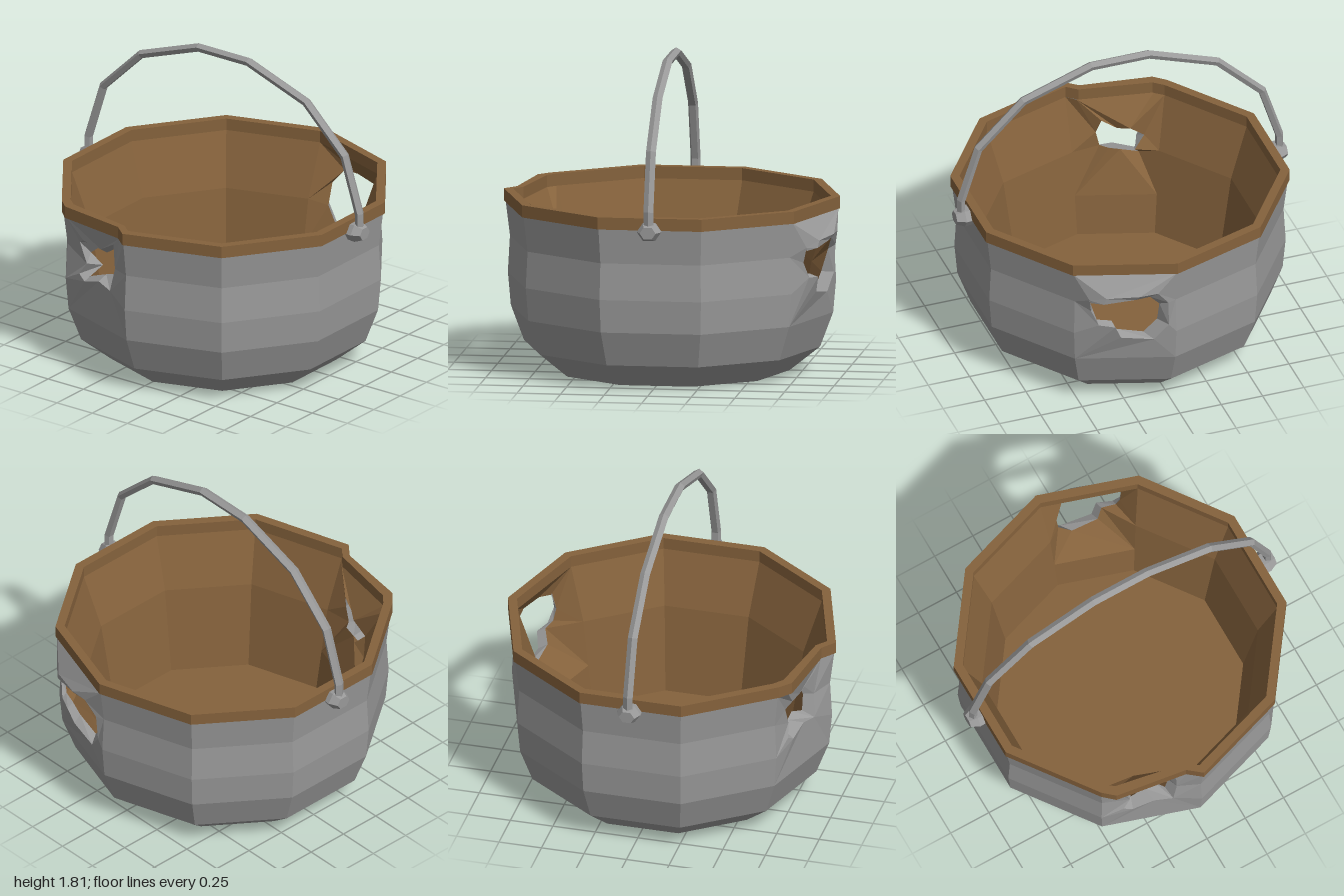
import * as THREE from 'three';

const V2 = (p) => new THREE.Vector2(p[0], p[1]);
const STEP = Math.PI / 5; // ten-sided pot

// Wall profiles as [radius, height], from bottom to top
const OUTER = [[0.675, 0], [0.85, 0.14], [0.925, 0.34], [0.942, 0.53], [0.93, 0.74], [0.955, 0.94]];
const INNER = [[0.715, 0.12], [0.755, 0.36], [0.8, 0.63], [0.912, 0.94]];

function radiusAt(profile, y) {
  let i = 0;
  while (i < profile.length - 2 && y > profile[i + 1][1]) i++;
  const [r0, y0] = profile[i], [r1, y1] = profile[i + 1];
  return r0 + ((r1 - r0) * (y - y0)) / (y1 - y0);
}

// Point on the front panel: sideways distance, height, push out of the wall plane
function wallPoint(profile, [d, y, push = 0]) {
  const r = radiusAt(profile, y), u = d / (Math.sin(STEP) * r);
  const a = STEP / 2;
  return new THREE.Vector3(
    -d - push * Math.sin(a), y,
    r * (1 - u * (1 - Math.cos(STEP))) + push * Math.cos(a));
}

// Loop of points sorted by angle around the middle of the hole
function makeLoop(profile, pts) {
  return pts
    .map((p) => ({ a: Math.atan2(p[1] - 0.69, 0.27 - p[0]), p: wallPoint(profile, p) }))
    .sort((m, n) => m.a - n.a);
}

// Stitches a big loop to a smaller loop inside it
function stitch(big, small, flip = false) {
  const pos = [];
  const at = (loop, i) => loop[i % loop.length].p;
  const ang = (loop, i) => loop[i % loop.length].a + (i >= loop.length ? 2 * Math.PI : 0);
  const tri = (a, b, c) => (flip ? [a, c, b] : [a, b, c]).forEach((v) => pos.push(v.x, v.y, v.z));
  let i = 0, j = 0;
  while (i < big.length || j < small.length) {
    const stepBig = j >= small.length || (i < big.length && ang(big, i + 1) < ang(small, j + 1));
    if (stepBig) {
      tri(at(big, i), at(big, i + 1), at(small, j));
      i++;
    } else {
      tri(at(big, i), at(small, j + 1), at(small, j));
      j++;
    }
  }
  const g = new THREE.BufferGeometry();
  g.setAttribute('position', new THREE.Float32BufferAttribute(pos, 3));
  g.computeVertexNormals();
  return g;
}

// Edge of one wall panel, with optional extra points on its top edge
function panelEdge(profile, from, top = []) {
  const pts = [...top];
  profile.slice(from).forEach(([r, y]) => pts.push([0, y], [r * Math.sin(STEP), y]));
  return makeLoop(profile, pts);
}

// Handle: five-sided bar bent along a path, ridge outward
function barGeometry(path) {
  const n = path.length;
  const g = new THREE.CylinderGeometry(1, 1, 1, 5, n - 1).rotateY(Math.PI / 2);
  const pos = g.attributes.position;
  for (let i = 0; i < pos.count; i++) {
    const k = Math.round((0.5 - pos.getY(i)) * (n - 1));
    const a = path[Math.max(k - 1, 0)], b = path[Math.min(k + 1, n - 1)];
    const len = Math.hypot(b[0] - a[0], b[1] - a[1]);
    const off = pos.getX(i) * 0.025;
    pos.setXYZ(i,
      path[k][0] - (off * (b[1] - a[1])) / len,
      path[k][1] + (off * (b[0] - a[0])) / len,
      pos.getZ(i) * 0.03);
  }
  g.computeVertexNormals();
  return g;
}

export function createModel() {
  const iron = new THREE.MeshStandardMaterial({ color: 0x999999, flatShading: true, side: THREE.DoubleSide });
  iron.name = 'iron grey';
  const rust = new THREE.MeshStandardMaterial({ color: 0x85623c, flatShading: true, side: THREE.DoubleSide });
  rust.name = 'rust brown';

  const model = new THREE.Group();
  model.name = 'brokenPot';
  const add = (name, geometry, material, parent = model) => {
    const mesh = new THREE.Mesh(geometry, material);
    mesh.name = name;
    parent.add(mesh);
    return mesh;
  };

  // Lower pot and floor, all the way round
  add('lowerPot', new THREE.LatheGeometry([[0, 0], ...OUTER.slice(0, 3)].map(V2), 10), iron);
  add('lowerLining', new THREE.LatheGeometry([[0, INNER[0][1]], ...INNER.slice(0, 2)].reverse().map(V2), 10), rust);

  // Upper walls, leaving out the two torn panels
  [['left', 0], ['right', Math.PI]].forEach(([side, start]) => {
    add(side + 'Wall', new THREE.LatheGeometry(OUTER.slice(2).map(V2), 4, start, 4 * STEP), iron);
    add(side + 'Lining', new THREE.LatheGeometry(INNER.slice(1).reverse().map(V2), 4, start, 4 * STEP), rust);
  });

  // Torn panels: the front one is bent inward, the back one outward
  const torn = [
    {
      name: 'front', turn: 0,
      top: [[0.08, 0.94, -0.035], [0.5, 0.94, 0.03]],
      innerTop: [[0.06, 0.94, -0.03], [0.48, 0.94, 0.03]],
      hole: [[0.44, 0.79, -0.01], [0.39, 0.82, 0], [0.27, 0.8, -0.03], [0.14, 0.88, -0.03], [0.13, 0.73, -0.02],
        [0.155, 0.59, -0.01], [0.26, 0.61, -0.01], [0.38, 0.57, 0], [0.43, 0.6, 0], [0.39, 0.67, -0.02]],
      lip: [[0.4, 0.71, 0.02], [0.33, 0.78, -0.04], [0.26, 0.76, 0], [0.18, 0.82, -0.03], [0.14, 0.73, 0.02],
        [0.15, 0.635, 0.06], [0.2, 0.64, 0.02], [0.26, 0.62, 0.04], [0.36, 0.58, 0.08], [0.34, 0.64, 0]],
    },
    {
      name: 'back', turn: Math.PI,
      top: [], innerTop: [],
      hole: [[0.47, 0.79, 0.06], [0.38, 0.82, 0.09], [0.2, 0.83, 0.09], [0.1, 0.83, 0.06], [0.04, 0.74, 0.03],
        [0.04, 0.58, 0.01], [0.12, 0.48, 0.01], [0.3, 0.51, 0.03], [0.33, 0.6, 0.06], [0.42, 0.61, 0.05], [0.46, 0.7, 0.04]],
      lip: [[0.44, 0.77, 0.14], [0.37, 0.78, 0.17], [0.2, 0.8, 0.15], [0.12, 0.8, 0.12], [0.06, 0.72, 0.1],
        [0.06, 0.59, 0.1], [0.13, 0.5, 0.11], [0.28, 0.54, 0.13], [0.31, 0.62, 0.15], [0.39, 0.63, 0.15], [0.42, 0.7, 0.12]],
    },
  ];
  torn.forEach(({ name, turn, top, innerTop, hole, lip }) => {
    const panel = new THREE.Group();
    panel.name = name + 'TornPanel';
    panel.rotation.y = turn;
    const a = makeLoop(OUTER, hole), b = makeLoop(INNER, lip);
    add(name + 'TornWall', stitch(panelEdge(OUTER, 2, top), a), iron, panel);
    add(name + 'TornEdge', stitch(a, b), iron, panel);
    add(name + 'TornLining', stitch(panelEdge(INNER, 1, innerTop), b, true), rust, panel);
    model.add(panel);
  });

  // Rim ring, dented at the front
  const ring = (r, dents) => {
    const pts = [];
    for (let i = 0; i < 10; i++) pts.push([r * Math.sin(i * STEP), -r * Math.cos(i * STEP)]);
    return [...pts, ...dents].map(V2);
  };
  const rim = new THREE.Shape(ring(0.965, [[-0.5, -0.84], [-0.08, -0.9]]));
  rim.holes.push(new THREE.Path(ring(0.912, [[-0.48, -0.785], [-0.06, -0.862]])));
  const rimGeometry = new THREE.ExtrudeGeometry(rim, { depth: 0.07, bevelEnabled: false }).rotateX(-Math.PI / 2);
  add('rim', rimGeometry, rust).position.y = 0.94;

  // Handle and the two knobs that hold it
  const half = [[0.962, 0.95], [0.962, 1.05], [0.857, 1.38], [0.585, 1.645], [0.175, 1.79]];
  const path = [...half.map(([x, y]) => [-x, y]), ...half.slice().reverse()];
  add('handle', barGeometry(path), iron);
  const knob = new THREE.LatheGeometry([[0.066, 0.9], [0.07, 0.95], [0.046, 1], [0, 1]].map(V2), 6);
  [['left', 1], ['right', -1]].forEach(([side, s]) => {
    const mesh = add(side + 'Knob', knob, iron);
    mesh.rotation.z = (-s * Math.PI) / 2;
    mesh.scale.x = 0.84;
    mesh.position.y = 0.937;
  });

  return model;
}
